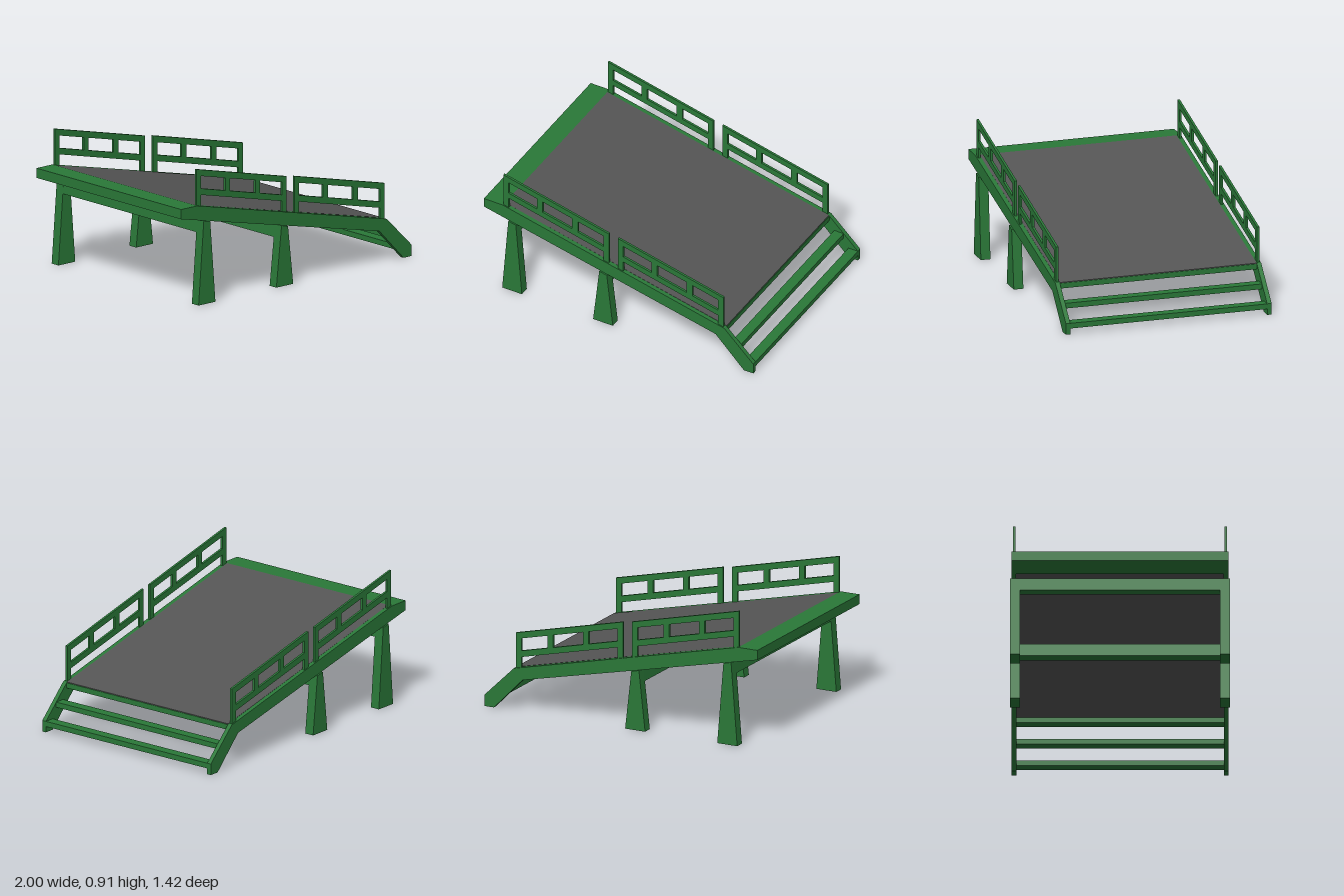
import * as THREE from 'three';

const green = new THREE.MeshStandardMaterial({ color: 0x2a7838, flatShading: true });
const grey = new THREE.MeshStandardMaterial({ color: 0x555555, flatShading: true });

// Extrudes a side profile (x, y) between two z values
function slab(name, points, z0, z1, material = green, holes = []) {
  const shape = new THREE.Shape(points.map(([x, y]) => new THREE.Vector2(x, y)));
  for (const h of holes) shape.holes.push(new THREE.Path(h.map(([x, y]) => new THREE.Vector2(x, y))));
  const geometry = new THREE.ExtrudeGeometry(shape, { depth: z1 - z0, bevelEnabled: false });
  geometry.translate(0, 0, z0);
  const mesh = new THREE.Mesh(geometry, material);
  mesh.name = name;
  return mesh;
}

// Same part on both sides
function pair(group, name, points, z0, z1, holes) {
  group.add(slab(name + 'Left', points, z0, z1, green, holes));
  group.add(slab(name + 'Right', points, -z1, -z0, green, holes));
}

export function createModel() {
  const model = new THREE.Group();
  model.name = 'rampPlatform';

  // Side beams, bending down into the stair stringers
  pair(model, 'sideBeam', [
    [-1, 0.6], [0.72, 0.215], [0.93, 0], [1, 0], [1, 0.075], [0.785, 0.285], [-0.86, 0.665], [-1, 0.665],
  ], 0.67, 0.7);

  // Level sill at the high end
  model.add(slab('topSill', [[-1, 0.6], [-0.86, 0.569], [-0.86, 0.665], [-1, 0.665]], -0.67, 0.67));

  // Sloping deck
  model.add(slab('deck', [[-0.86, 0.645], [0.785, 0.267], [0.785, 0.287], [-0.86, 0.665]], -0.67, 0.67, grey));

  // Deck end bar and two steps
  for (let i = 0; i < 3; i++) {
    const step = new THREE.Mesh(new THREE.BoxGeometry(0.07, 0.035, 1.34), green);
    step.name = i ? 'step' + i : 'deckEndBar';
    step.position.set(0.755 + i * 0.105, 0.265 - i * 0.104, 0);
    model.add(step);
  }

  // Two trestles: tapered legs joined by a cross beam
  for (const [cx, top] of [[-0.785, 0.552], [-0.11, 0.4]]) {
    const trestle = new THREE.Group();
    trestle.name = 'trestle';
    const half = 0.028, foot = 0.073, depth = 0.08, tilt = 0.224 * half;
    pair(trestle, 'leg', [
      [cx - foot, 0], [cx + foot, 0], [cx + half, top - tilt], [cx - half, top + tilt],
    ], 0.645, 0.71);
    const low = half + (foot - half) * depth / top;
    trestle.add(slab('crossBeam', [
      [cx - low, top - depth], [cx + low, top - depth], [cx + half, top - tilt], [cx - half, top + tilt],
    ], -0.645, 0.645));
    model.add(trestle);
  }

  // Railing panels, sheared to follow the slope
  for (const [x0, y0] of [[-0.86, 0.907], [-0.01, 0.711]]) {
    const at = (x, drop) => [x0 + x, y0 - 0.237 * x - drop];
    const w = 0.783, post = 0.04;
    const outline = [
      at(0, 0), at(0, 0.27), at(post, 0.27), at(post, 0.168),
      at(w - post, 0.168), at(w - post, 0.25), at(w, 0.25), at(w, 0),
    ];
    const openings = [[post, 0.25], [0.292, 0.51], [0.553, w - post]];
    const holes = openings.map(([a, b]) => [at(a, 0.042), at(b, 0.042), at(b, 0.126), at(a, 0.126)]);
    pair(model, 'railing', outline, 0.676, 0.692, holes);
  }

  return model;
}
